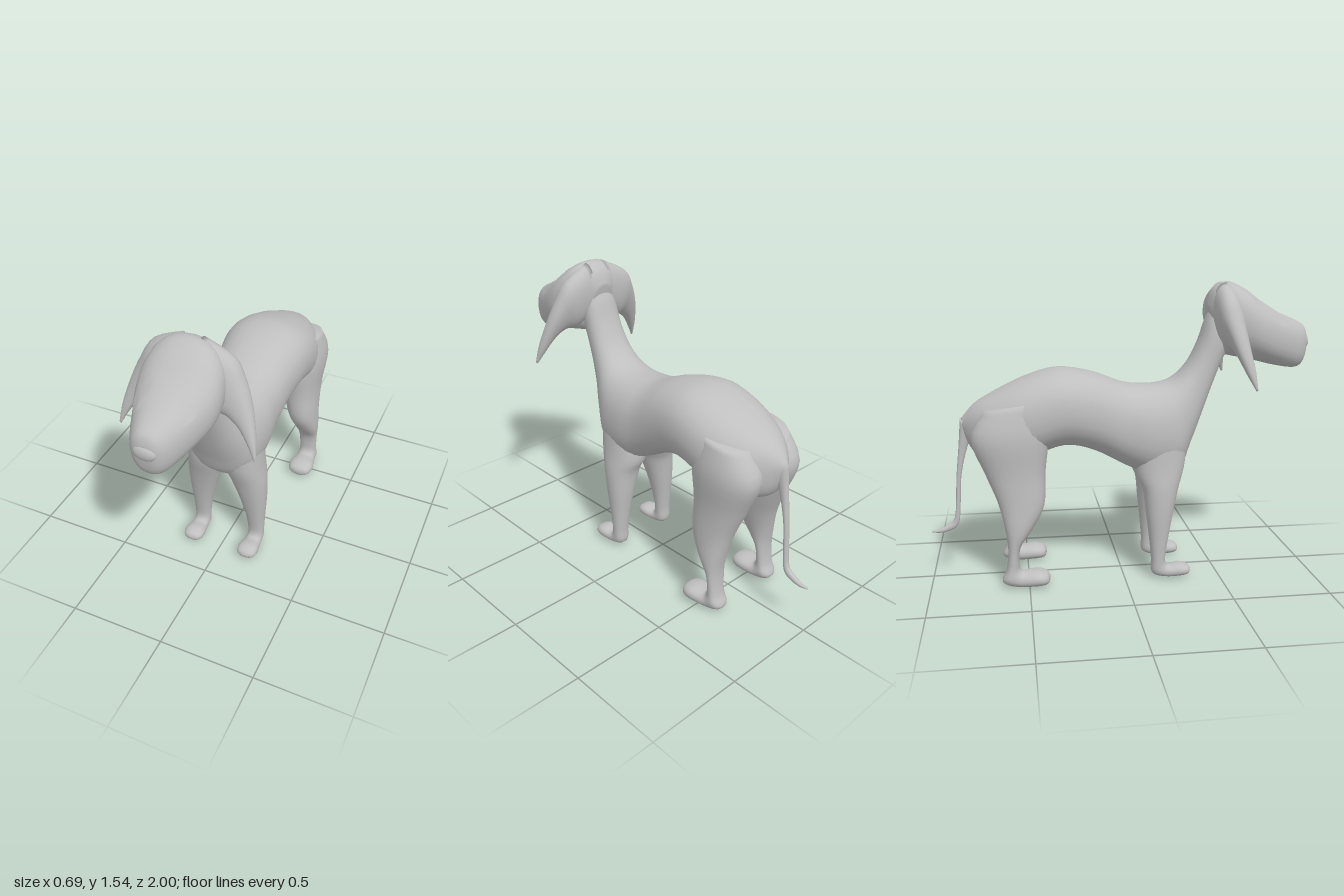
import * as THREE from 'three';

const coat = new THREE.MeshStandardMaterial({ color: 0xbfbfbf });
coat.name = 'grey coat';

// Catmull-Rom blend between rows of numbers
function sampleRows(rows, steps) {
  const out = [];
  const n = rows.length;
  for (let i = 0; i < n - 1; i++) {
    const p0 = rows[Math.max(i - 1, 0)], p1 = rows[i];
    const p2 = rows[i + 1], p3 = rows[Math.min(i + 2, n - 1)];
    for (let k = 0; k < steps + (i === n - 2 ? 1 : 0); k++) {
      const t = k / steps;
      out.push(p1.map((b, j) => {
        const m1 = (p2[j] - p0[j]) / 2, m2 = (p3[j] - b) / 2, d = p2[j] - b;
        return b + m1 * t + (3 * d - 2 * m1 - m2) * t * t + (m1 + m2 - 2 * d) * t * t * t;
      }));
    }
  }
  return out;
}

// Closed smooth skin through rows of [ax,ay,az, bx,by,bz, halfWidth];
// a and b are opposite rim points, side is the direction of the half width.
function loft(name, rows, side, power = 2.2, steps = 4, sides = 28) {
  const rings = sampleRows(rows, steps);
  const pos = [], index = [];
  const e = 2 / power;
  const bend = v => Math.sign(v) * Math.pow(Math.abs(v), e);
  const a = new THREE.Vector3(), b = new THREE.Vector3();
  const mid = new THREE.Vector3(), half = new THREE.Vector3(), p = new THREE.Vector3();
  const centres = [];
  rings.forEach((r, i) => {
    a.set(r[0], r[1], r[2]);
    b.set(r[3], r[4], r[5]);
    mid.addVectors(a, b).multiplyScalar(0.5);
    half.subVectors(a, b).multiplyScalar(0.5);
    if (i === 0 || i === rings.length - 1) centres.push(mid.clone());
    for (let j = 0; j < sides; j++) {
      const t = (j / sides) * Math.PI * 2;
      p.copy(mid).addScaledVector(half, bend(Math.cos(t)))
        .addScaledVector(side, Math.max(r[6], 0.003) * bend(Math.sin(t)));
      pos.push(p.x, p.y, p.z);
    }
  });
  const last = (rings.length - 1) * sides, c0 = rings.length * sides;
  centres.forEach(c => pos.push(c.x, c.y, c.z));
  for (let j = 0; j < sides; j++) {
    const k = (j + 1) % sides;
    for (let o = 0; o < last; o += sides) {
      index.push(o + j, o + k, o + sides + j, o + k, o + sides + k, o + sides + j);
    }
    index.push(c0, k, j, c0 + 1, last + j, last + k);
  }
  // turn the faces outward whichever way the rows run
  const P = i => new THREE.Vector3().fromArray(pos, i * 3);
  let volume = 0;
  for (let i = 0; i < index.length; i += 3) {
    volume += P(index[i]).dot(P(index[i + 1]).cross(P(index[i + 2])));
  }
  if (volume < 0) index.reverse();
  const g = new THREE.BufferGeometry();
  g.setAttribute('position', new THREE.Float32BufferAttribute(pos, 3));
  g.setIndex(index);
  g.computeVertexNormals();
  const mesh = new THREE.Mesh(g, coat);
  mesh.name = name;
  return mesh;
}

const X = new THREE.Vector3(1, 0, 0), Z = new THREE.Vector3(0, 0, 1);

// rows of [zA, yA, zB, yB, halfWidth, x]
const upright = (name, rows, s = 1, power = 2.2) => loft(name,
  rows.map(([za, ya, zb, yb, w, x = 0]) => [s * x, ya, za, s * x, yb, zb, w]), X, power);

export function createModel() {
  const dog = new THREE.Group();
  dog.name = 'dog';

  // Trunk and neck, rump to nape
  dog.add(upright('bodyAndNeck', [
    [-0.83, 0.85, -0.80, 0.74, 0.02],
    [-0.76, 0.93, -0.75, 0.67, 0.10],
    [-0.66, 0.99, -0.66, 0.64, 0.18],
    [-0.50, 1.065, -0.50, 0.65, 0.235],
    [-0.33, 1.11, -0.30, 0.71, 0.24],
    [-0.15, 1.085, -0.14, 0.675, 0.22],
    [0.00, 1.03, 0.02, 0.59, 0.207],
    [0.10, 1.015, 0.15, 0.54, 0.213],
    [0.20, 1.02, 0.30, 0.56, 0.20],
    [0.28, 1.05, 0.365, 0.70, 0.165],
    [0.355, 1.13, 0.42, 0.84, 0.125],
    [0.41, 1.24, 0.475, 0.99, 0.105],
    [0.45, 1.36, 0.53, 1.13, 0.10],
    [0.50, 1.44, 0.57, 1.20, 0.09],
  ], 1, 2.3));

  // Head, crown to muzzle
  const head = upright('head', [
    [0.45, 1.42, 0.50, 1.22, 0.06],
    [0.48, 1.50, 0.53, 1.17, 0.13],
    [0.55, 1.54, 0.58, 1.155, 0.18],
    [0.63, 1.51, 0.66, 1.14, 0.195],
    [0.72, 1.445, 0.72, 1.125, 0.185],
    [0.82, 1.385, 0.80, 1.105, 0.15],
    [0.91, 1.345, 0.90, 1.088, 0.11],
    [0.965, 1.315, 0.95, 1.095, 0.08],
    [0.985, 1.27, 0.975, 1.13, 0.05],
    [0.988, 1.22, 0.985, 1.18, 0.02],
  ], 1, 2.3);
  dog.add(head);

  // Nose
  const nose = new THREE.Mesh(new THREE.SphereGeometry(1, 24, 16), coat);
  nose.name = 'nose';
  nose.scale.set(0.056, 0.039, 0.025);
  nose.position.set(0, 1.227, 0.975);
  dog.add(nose);

  // Tail
  dog.add(upright('tail', [
    [-0.83, 0.86, -0.76, 0.79, 0.03],
    [-0.842, 0.72, -0.80, 0.70, 0.02],
    [-0.86, 0.55, -0.835, 0.55, 0.017],
    [-0.868, 0.42, -0.845, 0.40, 0.016],
    [-0.88, 0.32, -0.86, 0.29, 0.016],
    [-0.92, 0.285, -0.91, 0.255, 0.015],
    [-0.96, 0.267, -0.96, 0.246, 0.012],
    [-1.00, 0.257, -1.00, 0.251, 0.004],
  ]));

  const ray = new THREE.Raycaster();
  for (const s of [1, -1]) {
    const label = s > 0 ? 'left' : 'right';

    // Front leg running into its paw
    dog.add(upright(label + 'FrontLeg', [
      [0.33, 0.82, 0.10, 0.82, 0.09, 0.10],
      [0.325, 0.63, 0.07, 0.58, 0.105, 0.10],
      [0.285, 0.48, 0.10, 0.48, 0.095, 0.125],
      [0.255, 0.35, 0.115, 0.35, 0.075, 0.145],
      [0.23, 0.22, 0.13, 0.22, 0.055, 0.157],
      [0.215, 0.12, 0.14, 0.11, 0.045, 0.162],
      [0.22, 0.08, 0.145, 0.03, 0.044, 0.162],
      [0.24, 0.068, 0.21, 0.006, 0.045, 0.162],
      [0.29, 0.075, 0.29, 0.008, 0.056, 0.162],
      [0.333, 0.064, 0.333, 0.016, 0.045, 0.162],
      [0.347, 0.045, 0.347, 0.032, 0.012, 0.162],
    ], s));

    // Hind leg running into its paw
    dog.add(upright(label + 'HindLeg', [
      [-0.42, 0.97, -0.70, 0.92, 0.09, 0.13],
      [-0.385, 0.80, -0.775, 0.78, 0.12, 0.133],
      [-0.405, 0.60, -0.71, 0.60, 0.10, 0.14],
      [-0.415, 0.43, -0.65, 0.45, 0.083, 0.16],
      [-0.48, 0.31, -0.617, 0.31, 0.068, 0.18],
      [-0.54, 0.22, -0.605, 0.21, 0.055, 0.185],
      [-0.55, 0.13, -0.615, 0.10, 0.05, 0.187],
      [-0.54, 0.095, -0.637, 0.035, 0.054, 0.187],
      [-0.52, 0.085, -0.57, 0.006, 0.056, 0.187],
      [-0.46, 0.09, -0.46, 0.008, 0.072, 0.19],
      [-0.41, 0.078, -0.408, 0.016, 0.056, 0.19],
      [-0.394, 0.055, -0.394, 0.035, 0.014, 0.19],
    ], s));

    // Drooping ear, from the crown to the tip
    dog.add(loft(label + 'Ear', [
      [0.05, 1.535, 0.535, 0.05, 1.25, 0.54, 0.07],
      [0.19, 1.465, 0.525, 0.13, 1.20, 0.56, 0.068],
      [0.25, 1.37, 0.535, 0.19, 1.195, 0.575, 0.054],
      [0.295, 1.26, 0.56, 0.25, 1.155, 0.59, 0.04],
      [0.33, 1.13, 0.60, 0.30, 1.085, 0.61, 0.024],
      [0.344, 1.03, 0.63, 0.335, 1.02, 0.63, 0.005],
    ].map(r => r.map((v, i) => (i === 0 || i === 3 ? s * v : v))), Z));

    // Eye: a slanted oval plate laid onto the face
    const oval = new THREE.CircleGeometry(1, 32);
    oval.scale(0.034, 0.069, 1);
    oval.rotateZ(s * 0.38);
    oval.translate(s * 0.106, 1.376, 0);
    const p = oval.attributes.position;
    head.updateMatrixWorld();
    for (let i = 0; i < p.count; i++) {
      ray.set(new THREE.Vector3(p.getX(i), p.getY(i), 2), new THREE.Vector3(0, 0, -1));
      const hit = ray.intersectObject(head)[0];
      p.setZ(i, (hit ? hit.point.z : 0.72) + (i === 0 ? 0.012 : 0.006));
    }
    oval.computeVertexNormals();
    const eye = new THREE.Mesh(oval, coat);
    eye.name = label + 'Eye';
    dog.add(eye);
  }
  return dog;
}
